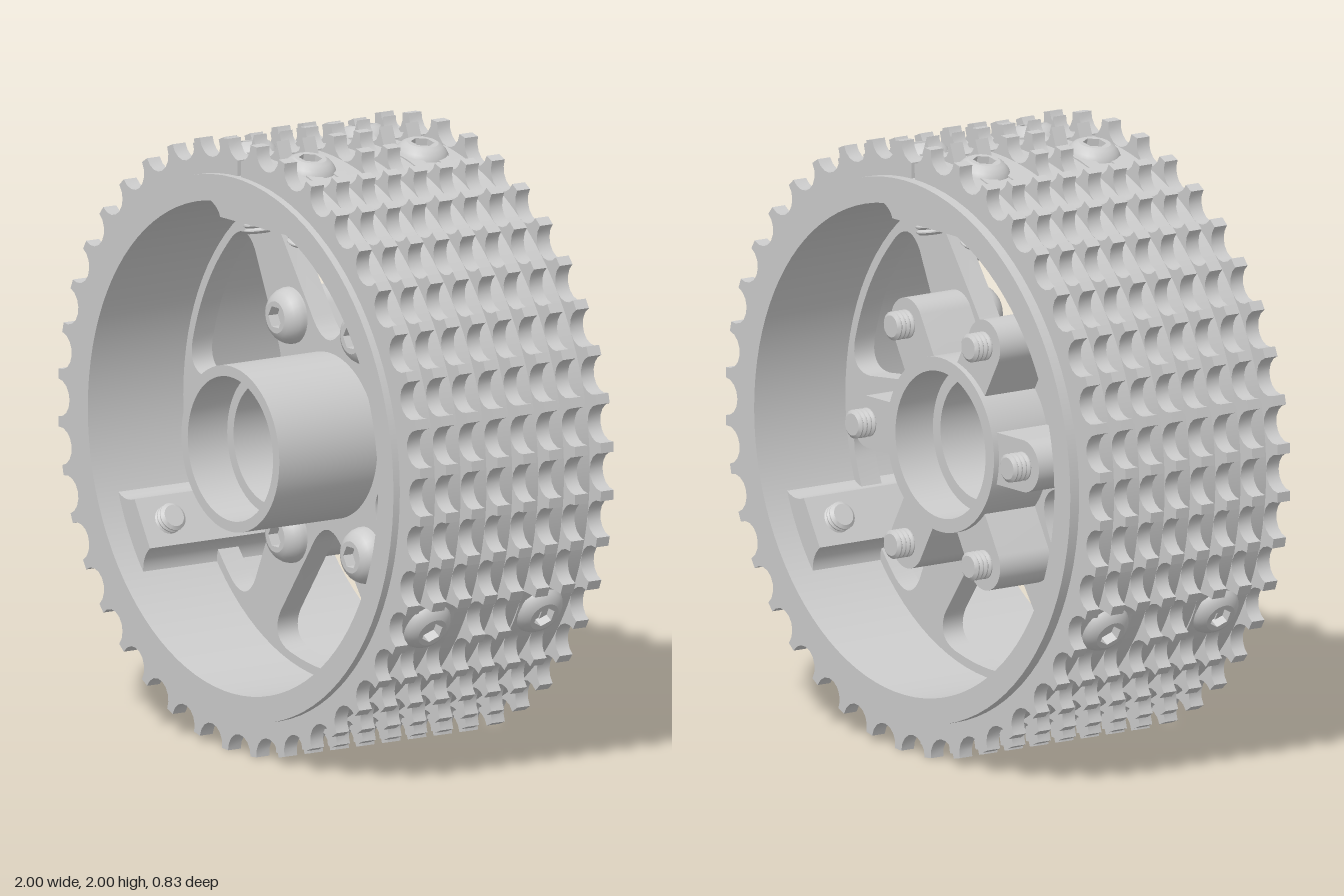
import * as THREE from 'three';
import { toCreasedNormals } from 'three/addons/utils/BufferGeometryUtils.js';

const mat = new THREE.MeshStandardMaterial({ color: 0xcccccc });
const rad = THREE.MathUtils.degToRad;
const V = (x, y) => new THREE.Vector2(x, y);

function mesh(name, geo, crease = 0.6) {
  const m = new THREE.Mesh(toCreasedNormals(geo, crease), mat);
  m.name = name;
  return m;
}

// Plate drawn in the wheel plane, filling z0..z1
function plate(name, shape, z0, z1, curveSegments = 12) {
  const geo = new THREE.ExtrudeGeometry(shape, { depth: z1 - z0, bevelEnabled: false, curveSegments });
  return mesh(name, geo.translate(0, 0, z0));
}

// Ring turned about the wheel axis from a closed [radius, z] profile
function turned(name, profile, segments = 96) {
  const pts = [...profile, profile[0]].map(([r, z]) => V(r, z));
  return mesh(name, new THREE.LatheGeometry(pts, segments).rotateX(Math.PI / 2));
}

const clampScrews = [80, 100, 210, 330];
const teeth = 40, rows = 8, rowPitch = 0.1014;

// Split sprocket outline with scooped valleys; teeth beside screw heads are cut down
function toothRing(cutForScrews) {
  const pts = [];
  for (let k = 0; k <= teeth; k++) {
    const deg = 90 + k * 360 / teeth, a = rad(deg);
    for (let j = -4; j <= 4; j++) {
      if ((k === 0 && j < 0) || (k === teeth && j > 0)) continue;
      const phi = j * Math.PI / 8;
      let t = 0.062 * Math.sin(phi);
      if (k === 0) t = Math.max(t, 0.009);
      if (k === teeth) t = Math.min(t, -0.009);
      let r = 0.998 - 0.062 * Math.cos(phi);
      const here = deg + t * 57.3;
      const nearScrew = clampScrews.some(s => Math.abs(((here - s + 540) % 360) - 180) < 6);
      if (cutForScrews && nearScrew) r = Math.min(r, 0.939);
      pts.push(V(r * Math.cos(a) - t * Math.sin(a), r * Math.sin(a) + t * Math.cos(a)));
    }
  }
  const steps = 96;
  for (let i = steps; i >= 0; i--) {
    const a = rad(90.6 + 358.8 * i / steps);
    pts.push(V(0.88 * Math.cos(a), 0.88 * Math.sin(a)));
  }
  return new THREE.Shape(pts);
}

// Rounded triangular opening, pointing towards the hub
function windowPath(angle) {
  const p = new THREE.Path();
  p.moveTo(0, 0.31);
  p.quadraticCurveTo(0.05, 0.31, 0.1, 0.39);
  p.lineTo(0.265, 0.62);
  p.bezierCurveTo(0.3, 0.68, 0.28, 0.73, 0.19, 0.747);
  p.quadraticCurveTo(0, 0.793, -0.19, 0.747);
  p.bezierCurveTo(-0.28, 0.73, -0.3, 0.68, -0.265, 0.62);
  p.lineTo(-0.1, 0.39);
  p.quadraticCurveTo(-0.05, 0.31, 0, 0.31);
  const turn = angle - Math.PI / 2;
  return new THREE.Path(p.getPoints(10).slice(0, -1).map(q => q.rotateAround(V(0, 0), turn)));
}

// Button-head screw along +y: head base at y = 0, threaded shank below
function screw(name, length) {
  const g = new THREE.Group();
  g.name = name;
  const dome = [V(0.03, 0), V(0.092, 0), V(0.092, 0.01), V(0.088, 0.026), V(0.079, 0.042), V(0.066, 0.055), V(0.052, 0.062)];
  g.add(mesh('screwHead', new THREE.LatheGeometry(dome, 28)));

  const top = new THREE.Shape().absarc(0, 0, 0.052, 0, Math.PI * 2);
  const hex = [];
  for (let i = 0; i < 6; i++) hex.push(V(0.038 * Math.cos(i * Math.PI / 3), 0.038 * Math.sin(i * Math.PI / 3)));
  top.holes.push(new THREE.Path(hex));
  const socket = new THREE.ExtrudeGeometry(top, { depth: 0.04, bevelEnabled: false, curveSegments: 14 });
  g.add(mesh('hexSocket', socket.rotateX(-Math.PI / 2).translate(0, 0.022, 0)));
  g.add(mesh('socketFloor', new THREE.CylinderGeometry(0.05, 0.05, 0.02, 20).translate(0, 0.015, 0)));

  // Shank with thread ridges on its last stretch
  const shank = [V(0, -length), V(0.036, -length)];
  for (let i = 0; i < 5; i++) {
    const y = -length + 0.008 + i * 0.017;
    shank.push(V(0.047, y), V(0.047, y + 0.004), V(0.039, y + 0.0105));
  }
  shank.push(V(0.044, -length + 0.1), V(0.044, 0.01));
  g.add(mesh('threadedShank', new THREE.LatheGeometry(shank, 20)));
  return g;
}

export function createModel() {
  const model = new THREE.Group();
  model.name = 'sprocketWheel';
  const wheel = new THREE.Group();
  wheel.name = 'wheel';
  wheel.position.y = 1;
  model.add(wheel);

  // Drum
  wheel.add(turned('drum', [[0.885, -0.415], [0.885, 0.405], [0.8, 0.405], [0.8, -0.415]]));

  // Split sleeve with rows of teeth
  const sleeve = new THREE.Group();
  sleeve.name = 'toothedSleeve';
  const band = new THREE.Shape();
  band.absarc(0, 0, 0.936, rad(90.6), rad(449.4), false);
  band.absarc(0, 0, 0.88, rad(449.4), rad(90.6), true);
  sleeve.add(plate('sleeveBand', band, -0.378, 0.378, 120));
  for (let i = 0; i < rows; i++) {
    const z = (i - (rows - 1) / 2) * rowPitch;
    const cut = Math.abs(Math.abs(z) - 0.22) < 0.09;
    sleeve.add(plate('toothRow', toothRing(cut), z - 0.025, z + 0.025));
  }
  wheel.add(sleeve);

  // Web with six openings
  const web = new THREE.Shape().absarc(0, 0, 0.81, 0, Math.PI * 2);
  web.holes.push(new THREE.Path().absarc(0, 0, 0.25, 0, Math.PI * 2, true));
  for (let i = 0; i < 6; i++) web.holes.push(windowPath(rad(30 + 60 * i)));
  wheel.add(plate('spokedWeb', web, -0.05, 0.03, 48));

  // Hub with a bearing seat at each end
  wheel.add(turned('hub', [
    [0.285, -0.27], [0.285, -0.04], [0.27, -0.04], [0.27, 0.415], [0.235, 0.415],
    [0.235, 0.26], [0.2, 0.26], [0.2, -0.12], [0.24, -0.12], [0.24, -0.27],
  ], 64));

  // Spoke bolts in long lobed bosses
  for (let i = 0; i < 6; i++) {
    const spoke = new THREE.Group();
    spoke.name = 'spokeBolt';
    const lobe = new THREE.Shape();
    lobe.moveTo(0.26, -0.085);
    lobe.lineTo(0.413, -0.085);
    lobe.absarc(0.413, 0, 0.085, -Math.PI / 2, Math.PI / 2, false);
    lobe.lineTo(0.26, 0.085);
    spoke.add(plate('boltBoss', lobe, -0.25, -0.04));
    const bolt = screw('bolt', 0.345);
    bolt.rotation.x = Math.PI / 2;
    bolt.position.set(0.413, 0, 0.03);
    spoke.add(bolt);
    spoke.rotation.z = i * Math.PI / 3;
    wheel.add(spoke);
  }

  // Pads inside the drum that take the clamp screws
  for (const [deg, half] of [[90, 0.19], [210, 0.085], [330, 0.085]]) {
    const pad = new THREE.Shape();
    const edge = half + 0.07, outer = Math.sqrt(0.81 ** 2 - edge ** 2);
    pad.moveTo(-half, 0.715);
    pad.lineTo(half, 0.715);
    pad.quadraticCurveTo(half + 0.01, outer - 0.02, edge, outer);
    pad.quadraticCurveTo(0, 0.87, -edge, outer);
    pad.quadraticCurveTo(-half - 0.01, outer - 0.02, -half, 0.715);
    const m = plate('screwPad', pad, -0.32, 0.32);
    m.rotation.z = rad(deg - 90);
    wheel.add(m);
  }

  // Radial clamp screws holding the sleeve
  for (const deg of clampScrews) {
    for (const z of [-0.22, 0.22]) {
      const s = screw('clampScrew', 0.235);
      s.position.set(0.908 * Math.cos(rad(deg)), 0.908 * Math.sin(rad(deg)), z);
      s.rotation.z = rad(deg - 90);
      wheel.add(s);
    }
  }
  return model;
}
